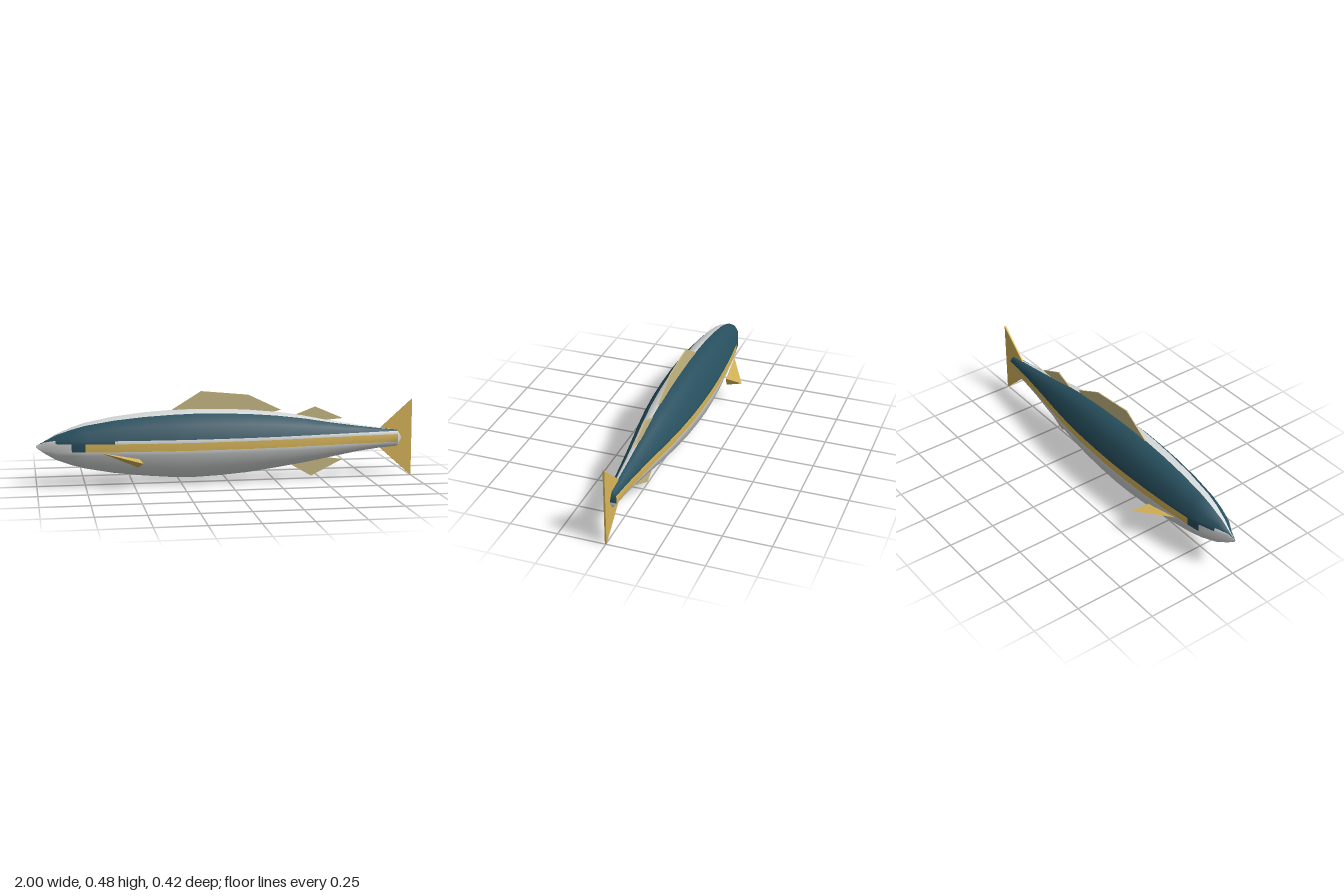
import * as THREE from 'three';
import { ConvexGeometry } from 'three/addons/geometries/ConvexGeometry.js';

const mat = (name, color) => Object.assign(new THREE.MeshStandardMaterial({ color }), { name });

// Body sections from nose to tail: x, bottom y, top y, half width
const SECTIONS = [
  [-1, 0.205, 0.213, 0.004], [-0.96, 0.175, 0.235, 0.027], [-0.9, 0.138, 0.272, 0.055],
  [-0.82, 0.108, 0.305, 0.08], [-0.75, 0.088, 0.328, 0.092], [-0.6, 0.06, 0.357, 0.108],
  [-0.45, 0.042, 0.375, 0.119], [-0.3, 0.029, 0.385, 0.126], [-0.18, 0.025, 0.389, 0.128],
  [-0.04, 0.031, 0.386, 0.126], [0.1, 0.042, 0.379, 0.12], [0.25, 0.062, 0.364, 0.108],
  [0.4, 0.084, 0.341, 0.09], [0.55, 0.111, 0.31, 0.069], [0.7, 0.138, 0.283, 0.05],
  [0.82, 0.154, 0.264, 0.038], [0.92, 0.162, 0.251, 0.031],
];

// Angles down one flank, with rows fixed at the stripe heights
function flankAngles(cy, ry) {
  const at = (y) => Math.acos(THREE.MathUtils.clamp((y - cy) / ry, -0.9, 0.9));
  const [t, a, b, l] = [0.245, 0.229, 0.188, 0.168].map(at);
  const step = (Math.PI - l) / 3;
  return [0, t / 3, (2 * t) / 3, t, a, b, l, l + step, l + 2 * step, Math.PI];
}

function ring([x, bottom, top, w]) {
  const cy = (bottom + top) / 2, ry = (top - bottom) / 2;
  const half = flankAngles(cy, ry);
  const all = [...half, ...half.slice(1, -1).reverse().map((t) => -t)];
  return all.map((t) => [x, cy + ry * Math.cos(t), w * Math.sin(t)]);
}

// Colour of a body panel: 0 back, 1 belly, 2 stripe
function panelColour(x, band, front) {
  if (band > 4) return 1;
  if (band === 4) return x > -0.76 ? 2 : x > -0.85 ? 0 : 1;
  if (band === 3) return x < -0.95 || (front && x > -0.65) ? 1 : 0;
  return front && band === 0 ? 1 : 0;
}

function bodyGeometry() {
  const rings = SECTIONS.map(ring), n = rings[0].length;
  const faces = [[], [], []];
  for (let i = 0; i < rings.length - 1; i++) {
    for (let j = 0; j < n; j++) {
      const k = (j + 1) % n;
      const a = i * n + j, b = a + n, c = i * n + k, d = c + n;
      const front = j < n / 2;
      const band = front ? j : n - 1 - j;
      faces[panelColour(SECTIONS[i][0], band, front)].push(a, c, b, c, d, b);
    }
  }
  const g = new THREE.BufferGeometry();
  g.setAttribute('position', new THREE.Float32BufferAttribute(rings.flat(2), 3));
  g.setIndex(faces.flat());
  let start = 0;
  faces.forEach((f, m) => { g.addGroup(start, f.length, m); start += f.length; });
  g.computeVertexNormals();
  return g;
}

// Short cone closing the tail end, pale except the upper far side
function tailEndGeometry() {
  const r = ring(SECTIONS[SECTIONS.length - 1]), n = r.length;
  const faces = [[], []];
  for (let j = 0; j < n; j++) {
    const dark = j >= n / 2 && n - 1 - j < 5;
    faces[dark ? 0 : 1].push(j, (j + 1) % n, n);
  }
  const g = new THREE.BufferGeometry();
  g.setAttribute('position', new THREE.Float32BufferAttribute([...r.flat(), 0.948, 0.207, 0], 3));
  g.setIndex(faces.flat());
  g.addGroup(0, faces[0].length, 0);
  g.addGroup(faces[0].length, faces[1].length, 1);
  g.computeVertexNormals();
  return g;
}

// Flat fin in the middle plane
function finGeometry(points, thick) {
  const shape = new THREE.Shape(points.map(([x, y]) => new THREE.Vector2(x, y)));
  return new THREE.ExtrudeGeometry(shape, { depth: thick, bevelEnabled: false }).translate(0, 0, -thick / 2);
}

export function createModel() {
  const back = mat('deep teal', 0x28505f);
  const belly = mat('silver white', 0xd6d9d9);
  const gold = mat('gold', 0xd8b659);
  const pale = mat('pale fin gold', 0xc9ba84);

  const model = new THREE.Group();
  model.name = 'fish';
  const add = (name, geometry, material) => {
    const m = new THREE.Mesh(geometry, material);
    m.name = name;
    model.add(m);
  };

  add('body', bodyGeometry(), [back, belly, gold]);
  add('tailEnd', tailEndGeometry(), [back, belly]);

  // Fins along the middle plane
  add('dorsalFin', finGeometry([[-0.3, 0.375], [-0.29, 0.388], [-0.14, 0.48], [0.11, 0.456], [0.285, 0.372], [0.2, 0.355]], 0.006), pale);
  add('rearDorsalFin', finGeometry([[0.35, 0.335], [0.37, 0.347], [0.47, 0.385], [0.62, 0.32], [0.5, 0.31]], 0.006), pale);
  add('analFin', finGeometry([[0.34, 0.077], [0.36, 0.1], [0.5, 0.115], [0.62, 0.098], [0.45, 0.013]], 0.006), pale);
  add('tailFin', finGeometry([[0.82, 0.255], [1, 0.415], [1, 0], [0.82, 0.16]], 0.009), gold);

  // Side fins
  for (const s of [1, -1]) {
    const pts = [[-0.67, 0.185, 0.104], [-0.465, 0.143, 0.212], [-0.485, 0.107, 0.118], [-0.475, 0.15, 0.118]];
    add(s > 0 ? 'frontPectoralFin' : 'backPectoralFin',
      new ConvexGeometry(pts.map(([x, y, z]) => new THREE.Vector3(x, y, z * s))), gold);
  }
  return model;
}
